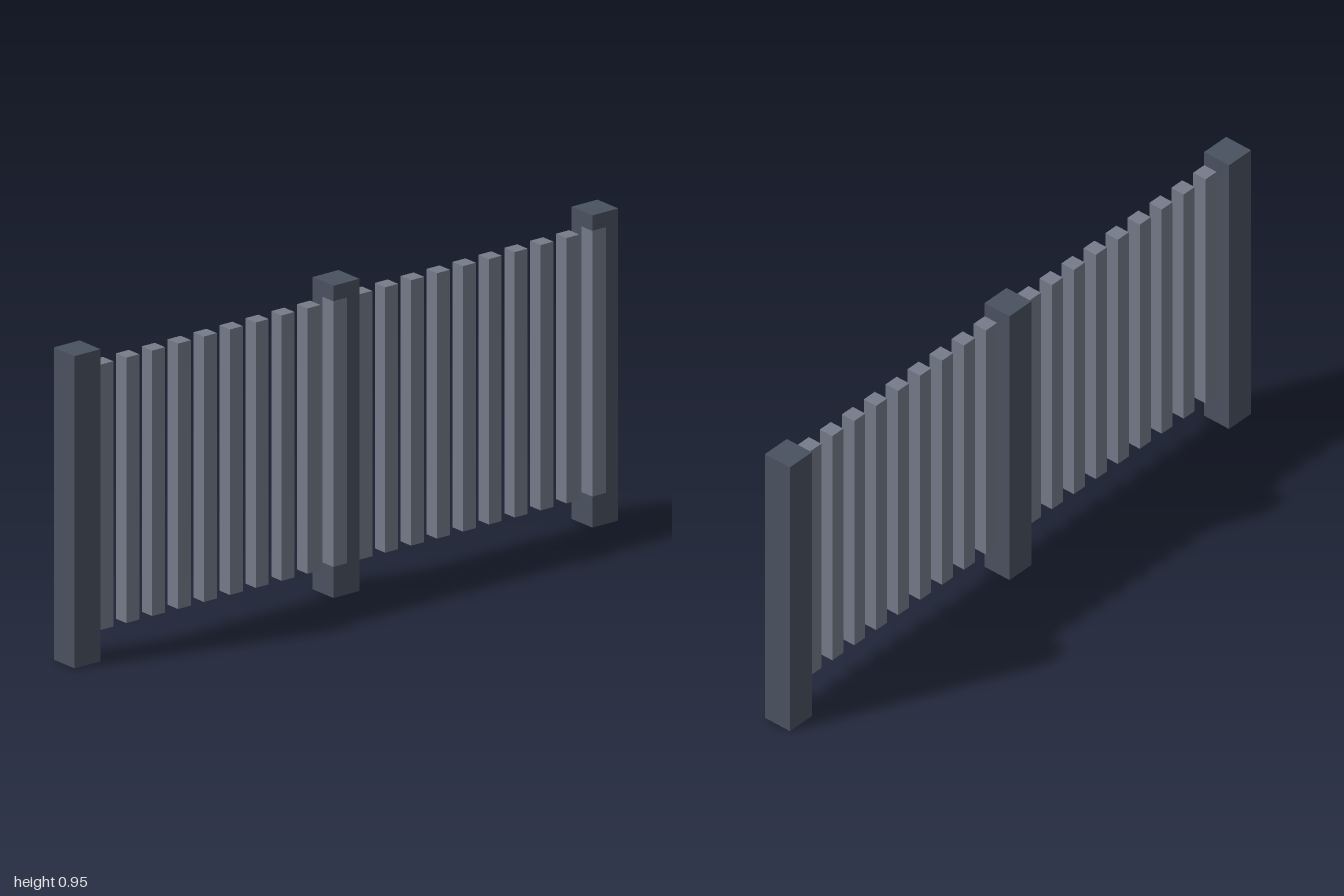
import * as THREE from 'three';

const U = 2 / 21; // post width, also the slat spacing

export function createModel() {
  const fence = new THREE.Group();
  fence.name = 'fence';
  const postMaterial = new THREE.MeshStandardMaterial({ color: 0x4a5260 });
  postMaterial.name = 'dark slate';
  const slatMaterial = new THREE.MeshStandardMaterial({ color: 0x757c89 });
  slatMaterial.name = 'light slate';

  // Three square posts standing on the ground
  const postGeometry = new THREE.BoxGeometry(U, 10 * U, U);
  [-10 * U, 0, 10 * U].forEach((x, i) => {
    const post = new THREE.Mesh(postGeometry, postMaterial);
    post.name = ['rightPost', 'middlePost', 'leftPost'][i];
    post.position.set(x, 5 * U, 0);
    fence.add(post);
  });

  // Two panels of ten slats; the last slat of each is let into the next post,
  // standing a hair proud of its faces
  const proud = 0.001;
  const slatGeometry = new THREE.BoxGeometry(U / 2, 8.5 * U, U / 2);
  const inletGeometry = new THREE.BoxGeometry(U / 2 + 2 * proud, 8.5 * U, U / 2 + 2 * proud);
  [-9.5 * U, 0.5 * U].forEach((start, p) => {
    const panel = new THREE.Group();
    panel.name = p === 0 ? 'rightPanel' : 'leftPanel';
    for (let i = 0; i < 10; i++) {
      const slat = new THREE.Mesh(i === 9 ? inletGeometry : slatGeometry, slatMaterial);
      slat.name = i === 9 ? 'inletSlat' : 'slat';
      slat.position.set(start + (i + 0.25) * U, 5.25 * U, U / 4);
      panel.add(slat);
    }
    fence.add(panel);
  });

  return fence;
}
